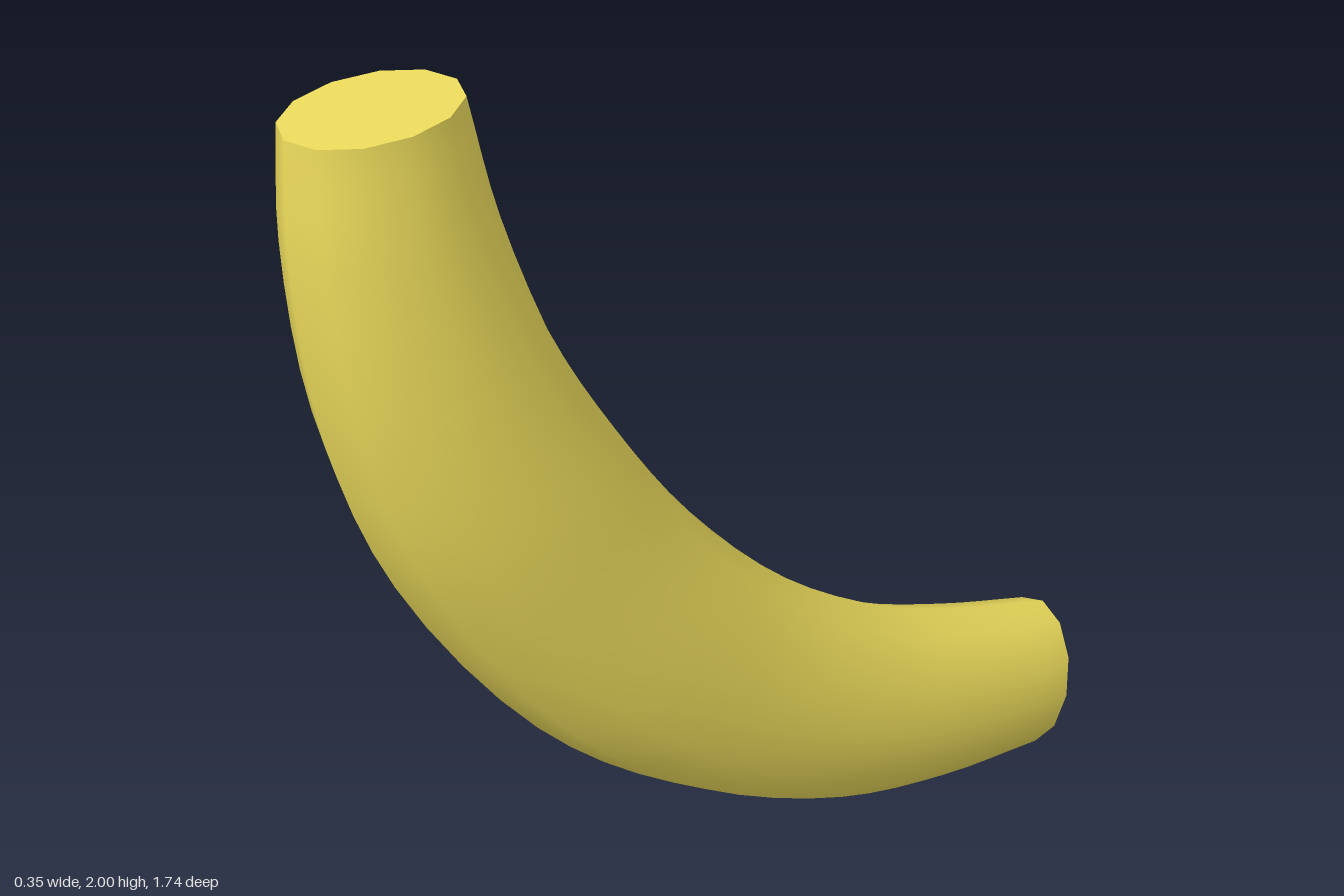
import * as THREE from 'three';

const SIDES = 12;
const RINGS = 33;
const WIDTH_RATIO = 1 / 1.43; // the section is an upright oval

// Side outline as (z, y) points, paired from the upper end to the lower end
const outerEdge = [[0.865, 2], [0.873, 1.78], [0.83, 1.42], [0.705, 1.06], [0.41, 0.61],
  [0.1, 0.33], [-0.26, 0.13], [-0.55, 0.045], [-0.81, 0.005]];
const innerEdge = [[0.53, 2], [0.475, 1.76], [0.36, 1.45], [0.225, 1.2], [0.055, 0.945],
  [-0.18, 0.69], [-0.435, 0.51], [-0.65, 0.41], [-0.868, 0.33]];

const edgeCurve = (points) =>
  new THREE.CatmullRomCurve3(points.map(([z, y]) => new THREE.Vector3(0, y, z)));

// Oval ring spanning the outer and inner edge at t
function makeRing(outer, inner, t) {
  const a = outer.getPoint(t);
  const b = inner.getPoint(t);
  const centre = a.clone().add(b).multiplyScalar(0.5);
  const depth = a.sub(centre);
  const width = depth.length() * WIDTH_RATIO;
  const points = [];
  for (let j = 0; j < SIDES; j++) {
    const angle = (j / SIDES) * Math.PI * 2;
    const p = centre.clone().addScaledVector(depth, Math.sin(angle));
    p.x = Math.cos(angle) * width;
    points.push(p);
  }
  return { centre, points };
}

function makeGeometry(points, indices) {
  const geometry = new THREE.BufferGeometry().setFromPoints(points);
  geometry.setIndex(indices);
  geometry.computeVertexNormals();
  return geometry;
}

// Flat end face, wound to face outwards
function makeCap(ring, flip) {
  const indices = [];
  for (let j = 0; j < SIDES; j++) {
    const k = (j + 1) % SIDES;
    indices.push(SIDES, flip ? k : j, flip ? j : k);
  }
  return makeGeometry([...ring.points, ring.centre], indices);
}

export function createModel() {
  const group = new THREE.Group();
  group.name = 'curvedHorn';
  const material = new THREE.MeshStandardMaterial({ color: 0xeedd5c });
  const add = (name, geometry) => {
    const mesh = new THREE.Mesh(geometry, material);
    mesh.name = name;
    group.add(mesh);
  };

  const outer = edgeCurve(outerEdge);
  const inner = edgeCurve(innerEdge);
  const rings = [];
  for (let i = 0; i < RINGS; i++) rings.push(makeRing(outer, inner, i / (RINGS - 1)));

  // Curved body, smooth all round
  const indices = [];
  for (let i = 0; i < RINGS - 1; i++) {
    for (let j = 0; j < SIDES; j++) {
      const k = (j + 1) % SIDES;
      const a = i * SIDES + j, b = i * SIDES + k;
      const c = a + SIDES, d = b + SIDES;
      indices.push(a, b, c, b, d, c);
    }
  }
  add('curvedBody', makeGeometry(rings.flatMap((r) => r.points), indices));

  // End faces
  add('upperEnd', makeCap(rings[0], true));
  add('lowerEnd', makeCap(rings[RINGS - 1], false));
  return group;
}
